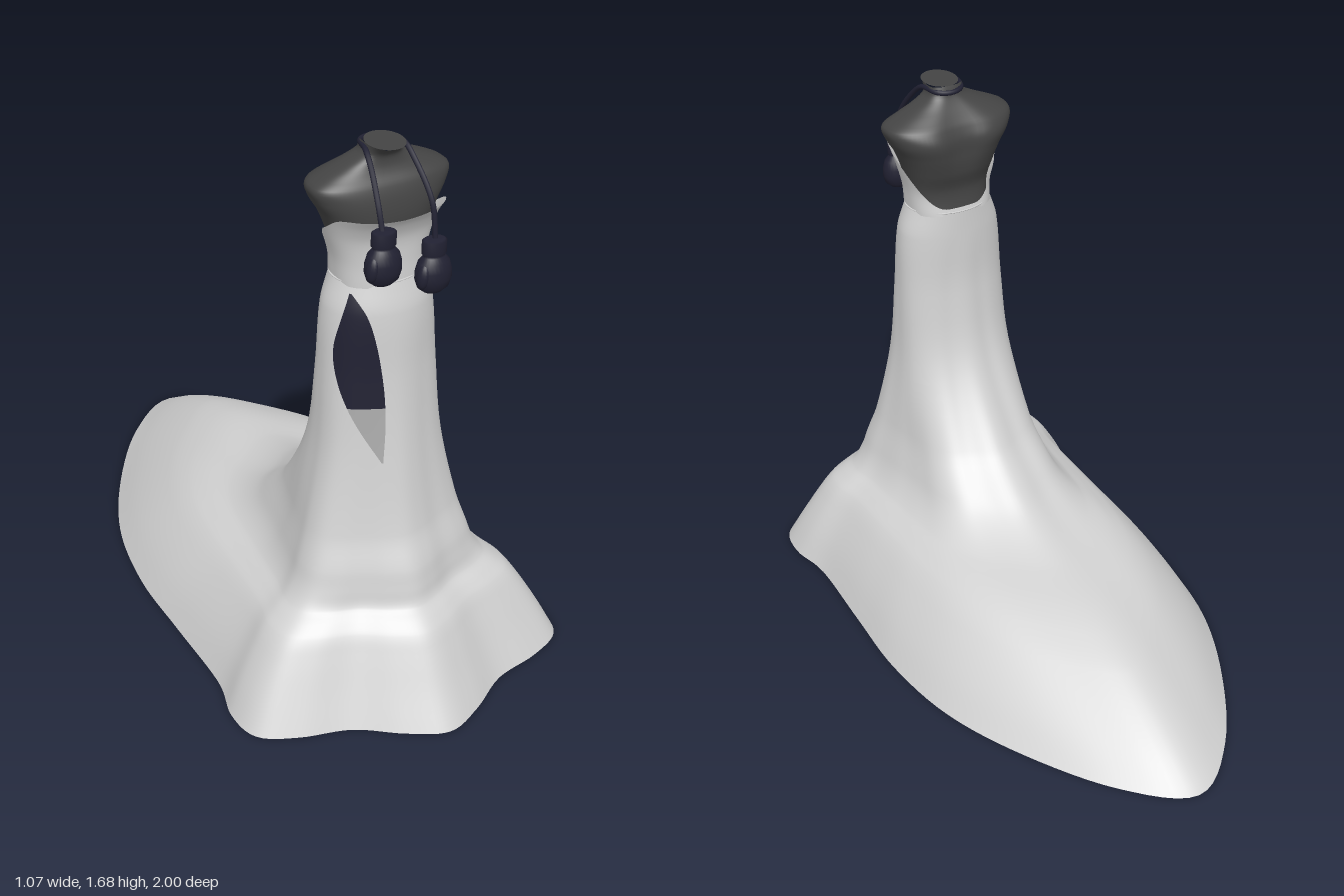
import * as THREE from 'three';

const mat = (name, color, side = THREE.FrontSide) => {
  const m = new THREE.MeshStandardMaterial({ color, side });
  m.name = name;
  return m;
};

// smooth interpolation in a table whose rows are [key, value, value, ...]
function at(keys, k) {
  const n = keys.length;
  k = Math.min(Math.max(k, keys[0][0]), keys[n - 1][0]);
  let i = 0;
  while (i < n - 2 && k > keys[i + 1][0]) i++;
  const a = keys[i], b = keys[i + 1], h = b[0] - a[0], t = (k - a[0]) / h;
  const p = keys[Math.max(i - 1, 0)], q = keys[Math.min(i + 2, n - 1)];
  return a.slice(1).map((v, c) => {
    c += 1;
    const m0 = (b[c] - p[c]) / (b[0] - p[0]) * h, m1 = (q[c] - a[c]) / (q[0] - a[0]) * h;
    const t2 = t * t, t3 = t2 * t;
    return v * (2 * t3 - 3 * t2 + 1) + m0 * (t3 - 2 * t2 + t) + b[c] * (3 * t2 - 2 * t3) + m1 * (t3 - t2);
  });
}
const bell = (x, c, w) => Math.exp(-(((x - c) / w) ** 2));

// grid surface: fn(i, j) gives a point; columns run to the right, rows run up
function surface(cols, rows, wrap, fn) {
  const pos = [], idx = [], n = wrap ? cols : cols + 1;
  for (let j = 0; j <= rows; j++) for (let i = 0; i < n; i++) pos.push(...fn(i / cols, j / rows));
  for (let j = 0; j < rows; j++) for (let i = 0; i < cols; i++) {
    const a = j * n + i, b = j * n + (i + 1) % n;
    idx.push(a, b, b + n, a, b + n, a + n);
  }
  const g = new THREE.BufferGeometry();
  g.setAttribute('position', new THREE.Float32BufferAttribute(pos, 3));
  g.setIndex(idx);
  g.computeVertexNormals();
  return g;
}

// hem outline by angle from the front: [degrees, x, z]
const HEM = [[-15, -.12, .95], [0, 0, 1], [15, .12, .95], [30, .25, .865], [45, .4, .825], [60, .51, .765],
  [75, .535, .65], [90, .507, .5], [105, .515, .22], [120, .52, -.05], [135, .475, -.33],
  [150, .36, -.6], [165, .19, -.86], [180, 0, -1], [195, -.19, -.86]];
// skirt: [height, half width, front z, back z, share of the hem outline]
const SKIRT = [[0, .535, 1, -1, 1], [.1, .487, .94, -.84, .95], [.2, .43, .885, -.64, .9],
  [.25, .395, .855, -.5, .85], [.28, .36, .825, -.38, .8], [.31, .325, .79, -.19, .75],
  [.36, .295, .775, -.04, .65], [.42, .275, .76, .06, .6], [.52, .245, .72, .18, .5],
  [.76, .195, .675, .335, .35], [1, .178, .645, .385, .2], [1.2, .165, .632, .39, 0], [1.29, .137, .61, .39, 0]];

function skirtPoint(deg, y) {
  const d = Math.abs(deg), s = Math.sign(deg) || 1, r = d * Math.PI / 180;
  const [hw, zf, zb, w] = at(SKIRT, y), [hx, hz] = at(HEM, d);
  const nz = (hz - .5) / (hz > .5 ? .5 : 1.5);
  let x = THREE.MathUtils.lerp(Math.sin(r), hx / .535, w);
  let z = THREE.MathUtils.lerp(Math.cos(r), nz, w);
  x *= 1 - .13 * bell(d, 118, 24) * bell(y, .42, .2); // hollow between skirt and train
  z *= 1 - .2 * bell(d, 163, 9) * w * (1 - w); // soft folds on the train
  return [s * x * hw, y, .5 + z * (z > 0 ? zf - .5 : .5 - zb)];
}

// torso: [height, half width, front z, back z]
const TORSO = [[1.26, .122, .595, .405], [1.35, .128, .592, .415], [1.42, .145, .595, .39], [1.48, .168, .6, .372],
  [1.53, .197, .595, .365], [1.57, .206, .582, .385], [1.595, .165, .565, .41], [1.62, .11, .555, .435],
  [1.645, .064, .556, .453], [1.665, .055, .575, .46], [1.677, .054, .595, .465]];
// bodice: [height, half width, front z, back z]
const BODICE = [[1.28, .133, .606, .395], [1.35, .139, .604, .405], [1.42, .156, .61, .38],
  [1.47, .17, .632, .365], [1.505, .181, .658, .358]];
// bodice top edge: [degrees, height]
const EDGE = [[0, 1.495], [30, 1.503], [60, 1.5], [80, 1.465], [100, 1.42], [130, 1.345], [155, 1.305], [180, 1.3]];

function bodyPoint(keys, r, y) {
  const [hw, zf, zb] = at(keys, y), pw = v => Math.sign(v) * Math.abs(v) ** .8;
  let z = pw(Math.cos(r));
  z *= 1 - .16 * bell(Math.abs(Math.sin(r)), 0, .25) * (z < 0 ? 1 : 0) * bell(y, 1.53, .09); // spine hollow
  return [hw * pw(Math.sin(r)), y, .5 + z * (z > 0 ? zf - .5 : .5 - zb)];
}

export function createModel() {
  const group = new THREE.Group();
  const cloth = mat('pale cloth', 0xd2d2d2, THREE.DoubleSide);
  const lining = mat('grey lining', 0xa9a9a9, THREE.DoubleSide);
  const grey = mat('mannequin grey', 0x444444);
  const navy = mat('dark navy', 0x212132, THREE.DoubleSide);
  const add = (name, geometry, material, parent = group) => {
    const m = new THREE.Mesh(geometry, material);
    m.name = name;
    parent.add(m);
    return m;
  };

  // skirt with train, rows denser where the train flattens
  const span = SKIRT.length - 1;
  const rowHeight = v => {
    const f = v * span, i = Math.min(Math.floor(f), span - 1);
    return THREE.MathUtils.lerp(SKIRT[i][0], SKIRT[i + 1][0], f - i);
  };
  add('skirtWithTrain', surface(144, span * 5, true, (u, v) => skirtPoint(u * 360 - 180, rowHeight(v))), cloth);

  // slit: plates following the skirt, from [height, left x, right x]
  const SLIT = [[.75, -.06, -.056], [.85, -.112, -.046], [.92, -.14, -.044], [1, -.158, -.048],
    [1.1, -.161, -.062], [1.2, -.142, -.086], [1.265, -.12, -.116]];
  const plate = (y0, y1) => surface(10, 24, false, (u, v) => {
    const y = y0 + v * (y1 - y0), [l, r] = at(SLIT, y), x = l + u * (r - l);
    let lo = -88, hi = 0;
    for (let k = 0; k < 24; k++) {
      const mid = (lo + hi) / 2;
      if (skirtPoint(mid, y)[0] < x) lo = mid; else hi = mid;
    }
    const p = skirtPoint(lo, y);
    return [x - .002, y, p[2] + .005];
  });
  add('slitUnderlayer', plate(.92, 1.265), navy);
  add('slitLining', plate(.75, .92), lining);

  // mannequin torso with a closed neck
  add('torso', surface(72, 60, true, (u, v) => bodyPoint(TORSO, u * 2 * Math.PI, 1.26 + v * .417)), grey);
  const cap = new THREE.CircleGeometry(1, 32).rotateX(-Math.PI / 2).scale(.054, 1, .066);
  add('neckCap', cap.translate(0, 1.677, .53), grey);

  // strapless bodice, low at the back
  add('bodice', surface(96, 20, true, (u, v) => {
    const d = u * 360 - 180, top = at(EDGE, Math.abs(d))[0];
    return bodyPoint(BODICE, d * Math.PI / 180, 1.28 + v * (top - 1.28));
  }), cloth);
  const seam = new THREE.TorusGeometry(1, .025, 6, 64).rotateX(Math.PI / 2).scale(.136, .1, .109);
  add('waistSeam', seam.translate(0, 1.29, .5), cloth);

  // pair of padded gloves hung round the neck
  const profile = [[0, -.078], [.028, -.075], [.046, -.06], [.054, -.035], [.053, -.01], [.046, .015], [.033, .03],
    [.031, .036], [.036, .04], [.036, .076], [.03, .08], [0, .08]].map(p => new THREE.Vector2(...p));
  for (const [s, y] of [[-1, 1.412], [1, 1.352]]) {
    const glove = new THREE.Group();
    glove.name = s < 0 ? 'rightGlove' : 'leftGlove';
    glove.position.set(s * .078, y, .672);
    add('mitt', new THREE.LatheGeometry(profile, 28).scale(1, 1, .74), navy, glove);
    const thumb = add('thumb', new THREE.SphereGeometry(.02, 16, 12).scale(.9, 1.9, 1), navy, glove);
    thumb.position.set(-.038, -.02, .012);
    thumb.rotation.z = -.15;
    group.add(glove);
  }
  const cord = new THREE.CatmullRomCurve3([[-.08, 1.485, .668], [-.078, 1.55, .64], [-.066, 1.63, .575],
    [-.058, 1.662, .53], [-.04, 1.662, .468], [0, 1.66, .452], [.04, 1.662, .468], [.058, 1.662, .53],
    [.066, 1.625, .58], [.08, 1.53, .65], [.083, 1.425, .668]].map(p => new THREE.Vector3(...p)));
  add('neckCord', new THREE.TubeGeometry(cord, 80, .008, 8), navy);
  return group;
}
